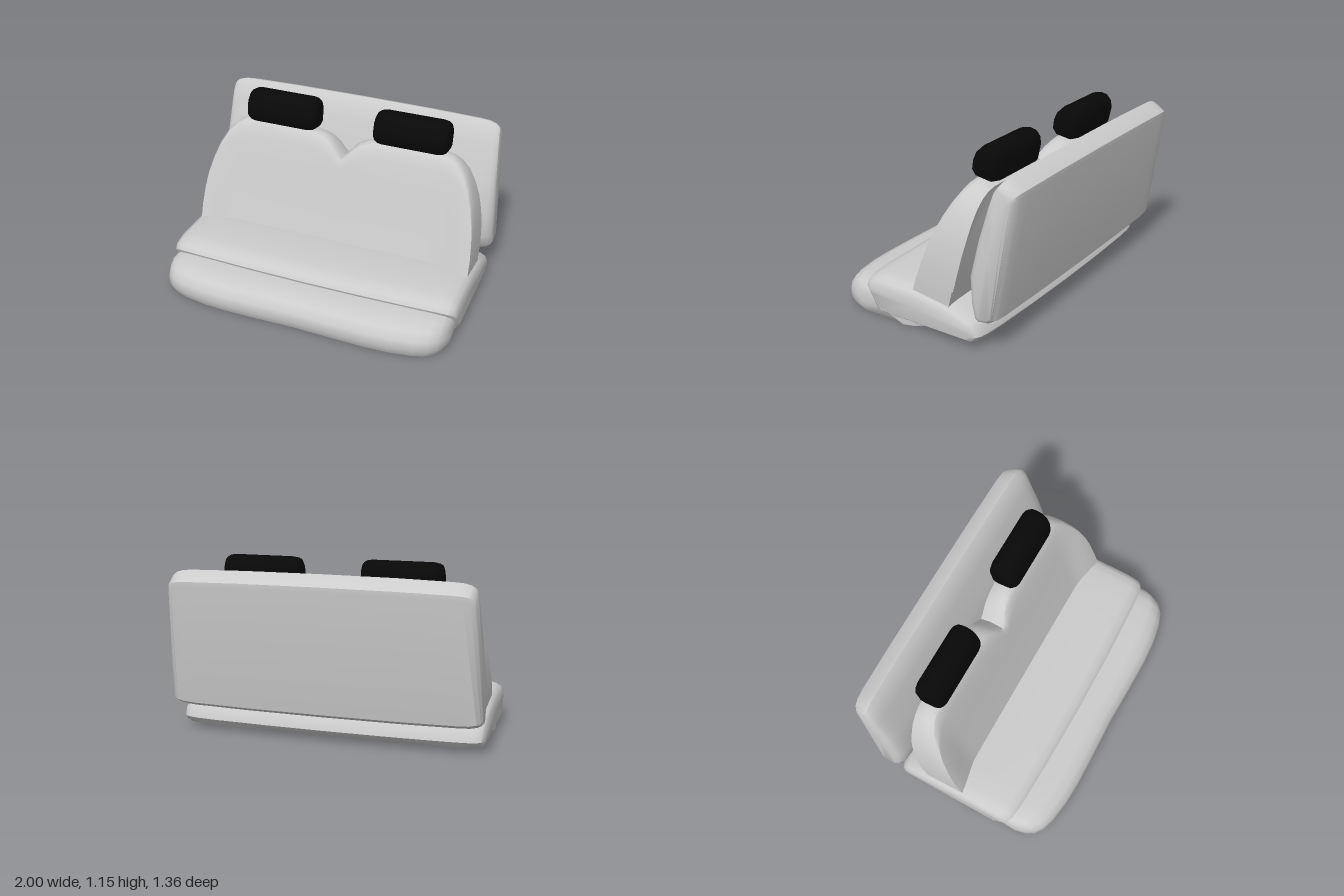
import * as THREE from 'three';
import { toCreasedNormals } from 'three/addons/utils/BufferGeometryUtils.js';

const grey = new THREE.MeshStandardMaterial({ color: 0xcccccc });
const black = new THREE.MeshStandardMaterial({ color: 0x080808 });

// Skin closed cross-sections that follow each other along +x, with end caps
function skin(rings, crease) {
  const n = rings[0].length, last = rings.length - 1;
  const pos = [], index = [];
  const centre = r => r.reduce((s, p) => s.add(p), new THREE.Vector3()).divideScalar(n);
  rings.forEach(r => r.forEach(p => pos.push(p.x, p.y, p.z)));
  [rings[0], rings[last]].forEach(r => pos.push(...centre(r).toArray()));
  const c0 = rings.length * n, c1 = c0 + 1;
  for (let j = 0; j < n; j++) {
    const k = (j + 1) % n;
    for (let i = 0; i < last; i++) {
      const a = i * n + j, b = i * n + k;
      index.push(a, a + n, b, b, a + n, b + n);
    }
    index.push(c0, j, k, c1, last * n + k, last * n + j);
  }
  const g = new THREE.BufferGeometry();
  g.setAttribute('position', new THREE.Float32BufferAttribute(pos, 3));
  g.setIndex(index);
  return toCreasedNormals(g, crease);
}

// Mirror a list of [x, ...] stations that begins at x = 0
const mirrored = list => [...list.slice(1).reverse().map(([x, ...r]) => [-x, ...r]), ...list];

// Cushion: [z, y] profile (up the front, down the back), scaled about a pivot at [x, scaleZ, scaleY] stations
function cushion(profile, [pz, py], stations, taper = () => 1, crease = 0.85) {
  return skin(mirrored(stations).map(([x, sz, sy]) => profile.map(([z, y]) =>
    new THREE.Vector3(x * taper(y), py + (y - py) * sy, pz + (z - pz) * sz))), crease);
}

// Piecewise linear lookup in [[key, value], ...]
function lookup(table, t) {
  for (let i = 1; i < table.length; i++) {
    const [a, va] = table[i - 1], [b, vb] = table[i];
    if (t <= b) return va + (vb - va) * Math.max(0, (t - a) / (b - a));
  }
  return table[table.length - 1][1];
}

// Backrest with a twin-arched top and side bolsters
function backrestGeometry() {
  const tops = mirrored([[0, 0.81], [0.03, 0.838], [0.07, 0.883], [0.11, 0.912], [0.16, 0.932], [0.22, 0.944],
    [0.32, 0.95], [0.5, 0.952], [0.67, 0.95], [0.73, 0.938], [0.78, 0.91], [0.83, 0.86], [0.875, 0.78],
    [0.91, 0.69], [0.935, 0.59], [0.95, 0.49], [0.96, 0.36]]);
  const front = [[0.2, 0.03], [0.28, 0.003], [0.55, -0.085], [0.8, -0.16], [0.95, -0.22]];
  const back = [[0.2, -0.215], [0.45, -0.275], [0.68, -0.32], [0.95, -0.355]];
  const rows = [0, 0.15, 0.3, 0.45, 0.6, 0.75, 0.87, 0.95];
  return skin(tops.map(([x, top]) => {
    const bolster = 0.036 * THREE.MathUtils.smoothstep(Math.abs(x), 0.7, 0.94);
    const at = t => 0.2 + (top - 0.2) * t;
    const f = y => lookup(front, y) + bolster * Math.min(1, (0.95 - y) / 0.4);
    const b = y => lookup(back, y);
    const p = (y, z) => new THREE.Vector3(x, y, z);
    return [
      ...rows.map(t => p(at(t), f(at(t)))),
      p(top - 0.008, f(top) - 0.008),
      p(top, f(top) * 0.7 + b(top) * 0.3),
      p(top - 0.006, f(top) * 0.35 + b(top) * 0.65),
      p(top - 0.035, b(top)),
      ...rows.slice(0, 7).reverse().map(t => p(at(t), b(at(t)))),
    ];
  }), 0.7);
}

export function createModel() {
  const model = new THREE.Group();
  model.name = 'benchSeat';
  const add = (name, geometry, material = grey) => {
    const mesh = new THREE.Mesh(geometry, material);
    mesh.name = name;
    model.add(mesh);
    return mesh;
  };

  // Low front cushion with a flat underside
  add('lowerCushion', cushion(
    [[0.65, 0], [0.68, 0.06], [0.672, 0.125], [0.63, 0.175], [0.56, 0.205], [0.4, 0.207], [0.1, 0.19],
      [-0.08, 0.12], [-0.115, 0.035], [-0.1, 0.01], [-0.04, 0]],
    [0.28, 0],
    [[0, 0.965, 1], [0.3, 0.985, 1], [0.5, 0.99, 1], [0.65, 0.97, 1], [0.8, 0.91, 0.99], [0.88, 0.84, 0.97],
      [0.93, 0.74, 0.92], [0.96, 0.6, 0.82], [0.975, 0.42, 0.62]],
    y => (y < 0.005 ? 0.975 : 1)));

  // Main seat cushion, sloping down to the rear
  add('seatCushion', cushion(
    [[0.35, 0.035], [0.39, 0.12], [0.435, 0.2], [0.443, 0.222], [0.42, 0.258], [0.37, 0.275], [0.31, 0.285],
      [0.03, 0.28], [-0.22, 0.243], [-0.42, 0.172], [-0.45, 0.14], [-0.47, 0.08], [-0.43, 0.035]],
    [-0.02, 0.1],
    [[0, 1, 1], [0.4, 0.99, 1], [0.75, 0.965, 0.99], [0.88, 0.945, 0.97], [0.94, 0.925, 0.92],
      [0.975, 0.89, 0.82], [0.99, 0.83, 0.62]]));

  add('backrest', backrestGeometry());

  // Rear panel: flat back, bulging front, narrower at the top
  add('rearPanel', cushion(
    [[-0.425, 0.17], [-0.4, 0.185], [-0.375, 0.28], [-0.362, 0.46], [-0.42, 0.71], [-0.495, 0.94],
      [-0.537, 1.045], [-0.575, 1.085], [-0.6, 1.078], [-0.68, 1.022], [-0.68, 0.99], [-0.547, 0.205],
      [-0.5, 0.178]],
    [-0.53, 0.62],
    [[0, 1, 1], [0.5, 0.995, 0.995], [0.85, 0.98, 0.98], [0.92, 0.95, 0.97], [0.965, 0.88, 0.945],
      [0.99, 0.76, 0.91], [1, 0.6, 0.87]],
    y => 1 - 0.065 * Math.max(0, y - 0.4)));

  // Pair of padded headrests
  const headrest = cushion(
    [[-0.192, 0.99], [-0.2, 1.05], [-0.222, 1.1], [-0.262, 1.138], [-0.31, 1.147], [-0.355, 1.137],
      [-0.387, 1.1], [-0.395, 1.05], [-0.372, 0.945], [-0.33, 0.93], [-0.22, 0.948]],
    [-0.295, 1.04],
    [[0, 1, 1], [0.19, 1, 1], [0.222, 0.94, 0.95], [0.242, 0.82, 0.84], [0.25, 0.65, 0.68]]);
  for (const [name, x] of [['leftHeadrest', 0.45], ['rightHeadrest', -0.45]])
    add(name, headrest, black).position.x = x;

  return model;
}
